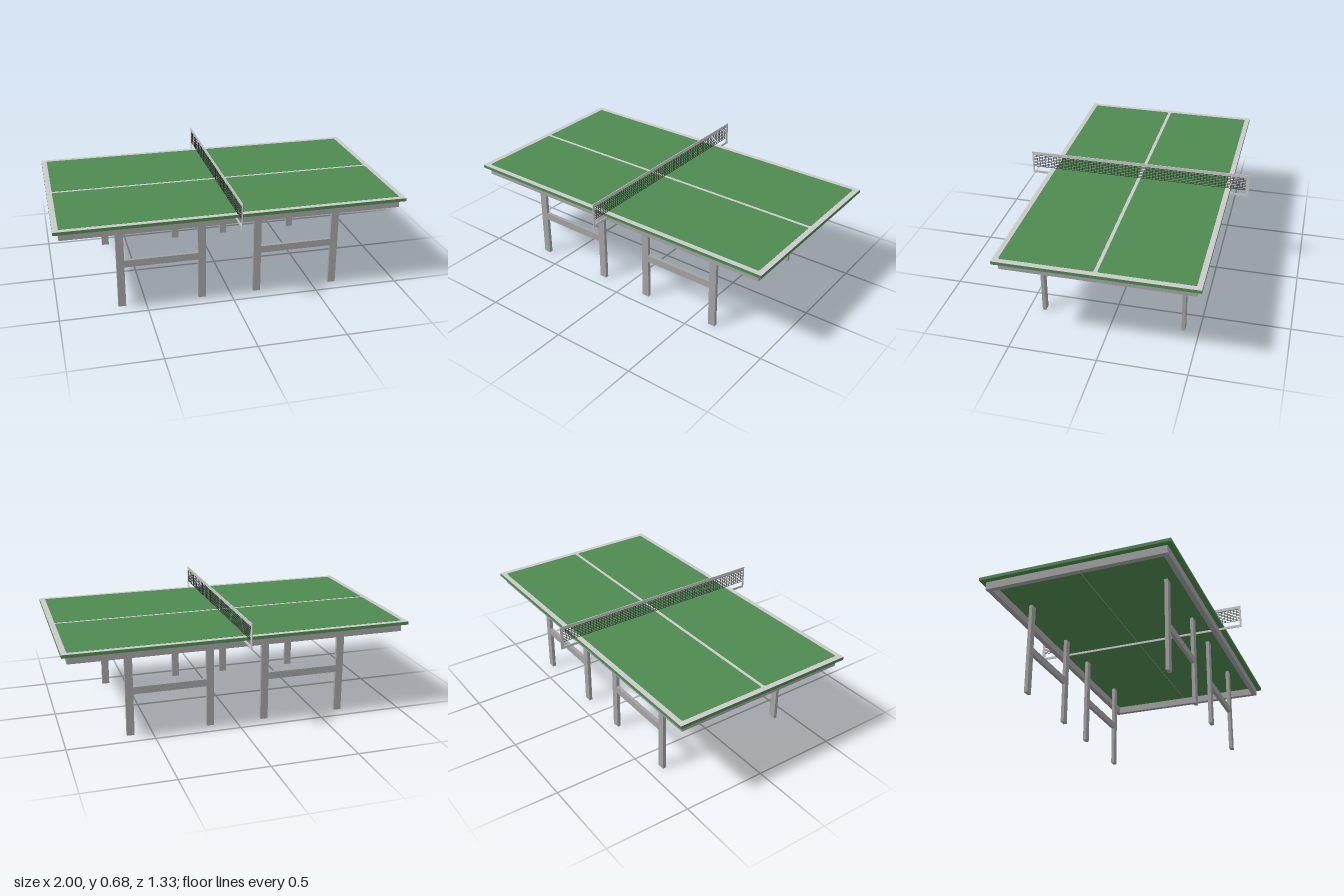
import * as THREE from 'three';

export function createModel() {
  const model = new THREE.Group();
  const mat = (name, color) => {
    const m = new THREE.MeshStandardMaterial({ color });
    m.name = name;
    return m;
  };
  const green = mat('table green', 0x4f8a50);
  const white = mat('line light grey', 0xcacaca);
  const grey = mat('frame grey', 0xa3a3a3);
  const dark = mat('net dark', 0x303030);

  // Box from min and max corners
  const box = (name, material, [x0, y0, z0], [x1, y1, z1], parent = model) => {
    const mesh = new THREE.Mesh(new THREE.BoxGeometry(x1 - x0, y1 - y0, z1 - z0), material);
    mesh.position.set((x0 + x1) / 2, (y0 + y1) / 2, (z0 + z1) / 2);
    mesh.name = name;
    parent.add(mesh);
    return mesh;
  };
  const rect = (T, x0, y0, x1, y1) => {
    const s = new T();
    s.moveTo(x0, y0).lineTo(x1, y0).lineTo(x1, y1).lineTo(x0, y1).closePath();
    return s;
  };

  // Table top with light border sheet and underside seam
  box('tableTop', green, [-1, 0.545, -0.553], [1, 0.563, 0.553]);
  box('borderLines', white, [-1, 0.563, -0.553], [1, 0.564, 0.553]);
  box('undersideSeam', grey, [-0.94, 0.5445, -0.002], [0.94, 0.545, 0.002]);

  // Two green playing fields with slightly rounded corners
  const w = 0.968, d = 0.513, r = 0.01;
  const field = new THREE.Shape();
  field.moveTo(-w + r, 0).lineTo(w - r, 0).quadraticCurveTo(w, 0, w, r)
    .lineTo(w, d - r).quadraticCurveTo(w, d, w - r, d)
    .lineTo(-w + r, d).quadraticCurveTo(-w, d, -w, d - r)
    .lineTo(-w, r).quadraticCurveTo(-w, 0, -w + r, 0);
  const fieldGeo = new THREE.ExtrudeGeometry(field, { depth: 0.001, bevelEnabled: false, curveSegments: 4 });
  fieldGeo.rotateX(-Math.PI / 2);
  for (const z of [-0.01, 0.01 + d]) {
    const mesh = new THREE.Mesh(fieldGeo, green);
    mesh.position.set(0, 0.564, z);
    mesh.name = 'playingField';
    model.add(mesh);
  }

  // Apron ring under the top
  const ring = rect(THREE.Shape, -0.97, -0.525, 0.97, 0.525);
  ring.holes.push(rect(THREE.Path, -0.94, -0.495, 0.94, 0.495));
  const apron = new THREE.Mesh(
    new THREE.ExtrudeGeometry(ring, { depth: 0.045, bevelEnabled: false }).rotateX(-Math.PI / 2), grey);
  apron.position.y = 0.5;
  apron.name = 'apron';
  model.add(apron);

  // Four H-shaped leg pairs
  for (const z of [-0.41, 0.41]) {
    for (const [a, b] of [[-0.638, -0.17], [0.158, 0.626]]) {
      const pair = new THREE.Group();
      pair.name = 'legPair';
      for (const x of [a, b]) box('leg', grey, [x - 0.022, 0, z - 0.01], [x + 0.022, 0.545, z + 0.01], pair);
      box('crossbar', grey, [a + 0.022, 0.246, z - 0.01], [b - 0.022, 0.288, z + 0.01], pair);
      model.add(pair);
    }
  }

  // Net frame, drawn in the z-y plane
  const net = new THREE.Group();
  net.name = 'net';
  net.position.x = -0.003;
  const outline = rect(THREE.Shape, -0.665, 0.532, 0.663, 0.675);
  outline.holes.push(rect(THREE.Path, -0.655, 0.547, 0.644, 0.655));
  const frame = new THREE.Mesh(
    new THREE.ExtrudeGeometry(outline, { depth: 0.004, bevelEnabled: false }).rotateY(Math.PI / 2), white);
  frame.position.x = -0.002;
  frame.name = 'netFrame';
  net.add(frame);

  // Net mesh strands
  const t = 0.001, z0 = -0.644, z1 = 0.655, rows = 8, cols = 72;
  for (let i = 0; i < rows; i++) {
    const y = 0.577 + (i * 0.076) / (rows - 1);
    box('netStrandAcross', dark, [-t, y - t, z0], [t, y + t, z1], net);
  }
  for (let i = 1; i < cols; i++) {
    const z = z0 + ((z1 - z0) * i) / cols;
    box('netStrandUpright', dark, [-t, 0.577, z - t], [t, 0.655, z + t], net);
  }
  model.add(net);

  return model;
}
